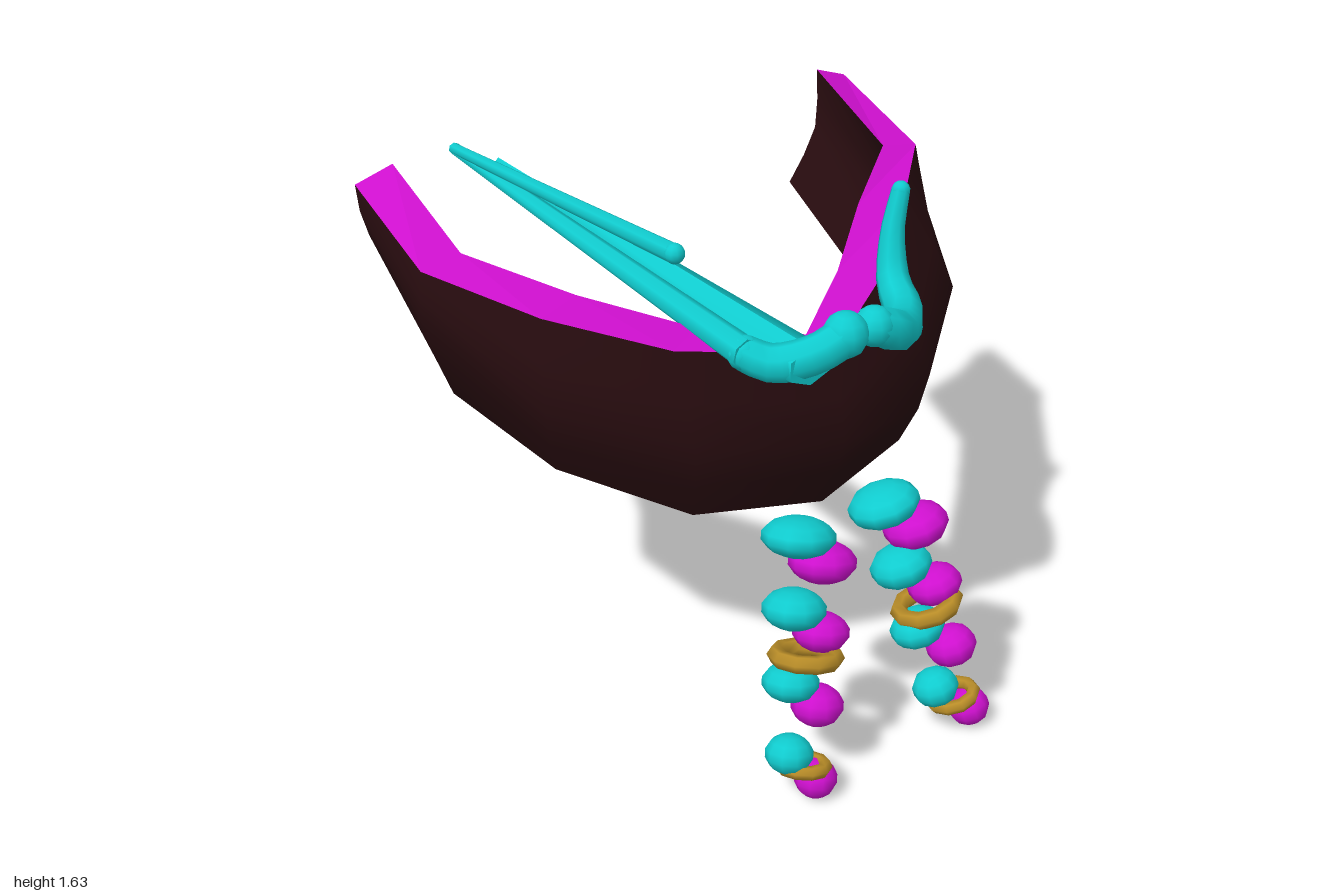
import * as THREE from 'three';

const V = (p) => new THREE.Vector3(...p);
const mat = (name, color, side = THREE.FrontSide) => {
  const m = new THREE.MeshStandardMaterial({ color, side });
  m.name = name;
  return m;
};

// Surface through rows of points; flat or smooth
function strip(rows, flat) {
  const n = rows[0].length, index = [];
  for (let s = 0; s < rows.length - 1; s++)
    for (let k = 0; k < n - 1; k++) {
      const a = s * n + k, b = a + 1, d = a + n, c = d + 1;
      index.push(a, b, c, a, c, d);
    }
  let g = new THREE.BufferGeometry().setFromPoints(rows.flat());
  g.setIndex(index);
  if (flat) g = g.toNonIndexed();
  g.computeVertexNormals();
  return g;
}

// Tube whose radius follows a list of values
function taperTube(points, radii, segments, sides) {
  const curve = new THREE.CatmullRomCurve3(points.map(V));
  const g = new THREE.TubeGeometry(curve, segments, 1, sides);
  const pos = g.attributes.position, v = new THREE.Vector3();
  for (let i = 0; i <= segments; i++) {
    const t = i / segments, c = curve.getPointAt(t);
    const f = t * (radii.length - 1), j = Math.min(Math.floor(f), radii.length - 2);
    const r = THREE.MathUtils.lerp(radii[j], radii[j + 1], f - j);
    for (let k = 0; k <= sides; k++) {
      const id = i * (sides + 1) + k;
      v.fromBufferAttribute(pos, id).sub(c).multiplyScalar(r).add(c);
      pos.setXYZ(id, v.x, v.y, v.z);
    }
  }
  return g;
}

export function createModel() {
  const group = new THREE.Group();
  const dark = mat('dark brown', 0x260b0e, THREE.DoubleSide);
  const magenta = mat('magenta', 0xcf10cf, THREE.DoubleSide);
  const teal = mat('teal', 0x10cccf);
  const gold = mat('gold', 0xb98d28);

  const add = (name, geometry, material, parent = group) => {
    const m = new THREE.Mesh(geometry, material);
    m.name = name;
    parent.add(m);
    return m;
  };
  const ball = (name, p, r, material, parent) => {
    const m = add(name, new THREE.SphereGeometry(r, 10, 7), material, parent);
    m.position.set(...p);
    return m;
  };

  // Curved band: half of the cross-sections, from the front centre to the end.
  // Each holds outer top, middle, bottom, then inner bottom, middle, top.
  const sections = [
    [[0, 1.25, 0.63], [0, 1.0, 0.7], [0, 0.76, 0.61], [0, 0.77, 0.49], [0, 1.0, 0.57], [0, 1.26, 0.51]],
    [[0.42, 1.31, 0.47], [0.42, 1.04, 0.575], [0.38, 0.79, 0.5], [0.3, 0.81, 0.39], [0.33, 1.04, 0.45], [0.3, 1.32, 0.4]],
    [[0.69, 1.385, 0.23], [0.735, 1.14, 0.31], [0.65, 0.885, 0.2], [0.53, 0.91, 0.13], [0.6, 1.13, 0.21], [0.55, 1.4, 0.18]],
    [[0.89, 1.46, -0.08], [0.907, 1.32, -0.07], [0.8, 1.035, -0.12], [0.66, 1.07, -0.09], [0.77, 1.28, -0.09], [0.76, 1.48, -0.09]],
    [[0.895, 1.59, -0.47], [0.87, 1.43, -0.46], [0.67, 1.25, -0.43], [0.6, 1.3, -0.37], [0.74, 1.45, -0.42], [0.775, 1.63, -0.465]],
  ];
  const outer = [], inner = [];
  for (let s = -4; s <= 4; s++) {
    const side = s < 0 ? -1 : 1;
    const p = sections[Math.abs(s)].map(([x, y, z], k) => {
      // The left rim is pinched inward
      const pinch = (k === 0 || k === 5) && (s === 1 || s === 2) ? 1 : 0;
      return new THREE.Vector3(side * (x - pinch * 0.04), y, z - pinch * 0.08);
    });
    outer.push(new THREE.CatmullRomCurve3(p.slice(0, 3)).getPoints(4));
    inner.push(new THREE.CatmullRomCurve3(p.slice(3)).getPoints(4));
  }
  const band = new THREE.Group();
  band.name = 'band';
  group.add(band);
  add('bandOuter', strip(outer), dark, band);
  add('bandInner', strip(inner), dark, band);
  add('bandUpperRim', strip(inner.map((r, i) => [r[4], outer[i][0]]), true), magenta, band);
  add('bandLowerRim', strip(outer.map((r, i) => [r[4], inner[i][0]]), true), magenta, band);
  const flip = (r) => [...r].reverse();
  add('bandLeftEnd', strip([outer[8], flip(inner[8])], true), magenta, band);
  add('bandRightEnd', strip([flip(inner[0]), outer[0]], true), magenta, band);

  // Hanging strands: [kind, strand x, sideways offset, y, z, radius, half height]
  const beads = [
    ['teal', 0.153, -0.047, 0.79, 0.76, 0.108, 0.058],
    ['magenta', 0.172, 0.052, 0.683, 0.77, 0.1, 0.062],
    ['teal', 0.195, -0.045, 0.585, 0.8, 0.094, 0.06],
    ['magenta', 0.213, 0.057, 0.485, 0.82, 0.084, 0.058],
    ['ring', 0.225, 0.005, 0.435, 0.835, 0.112],
    ['teal', 0.235, -0.045, 0.375, 0.845, 0.084, 0.056],
    ['magenta', 0.255, 0.055, 0.275, 0.87, 0.078, 0.062],
    ['teal', 0.275, -0.045, 0.172, 0.9, 0.071, 0.058],
    ['ring', 0.285, 0.005, 0.122, 0.915, 0.086],
    ['magenta', 0.295, 0.055, 0.064, 0.925, 0.064, 0.06],
  ];
  for (const side of [-1, 1]) {
    const strand = new THREE.Group();
    strand.name = side < 0 ? 'rightStrand' : 'leftStrand';
    group.add(strand);
    const axis = new THREE.Vector3(-side * 0.17, 0.73, -0.18).normalize();
    for (const [kind, c, d, y, z, r, h] of beads) {
      let m;
      if (kind === 'ring') {
        const g = new THREE.TorusGeometry(r * 0.76, r * 0.24, 6, 10).rotateX(Math.PI / 2);
        m = add('goldRing', g, gold, strand);
      } else {
        const g = new THREE.SphereGeometry(1, 10, 7).scale(r, h, r);
        m = add('bead', g, kind === 'teal' ? teal : magenta, strand);
      }
      m.position.set(side * c + d, y, z);
      m.quaternion.setFromUnitVectors(new THREE.Vector3(0, 1, 0), axis);
    }
  }

  // Left horn, curling up
  const horn = new THREE.Group();
  horn.name = 'leftHorn';
  group.add(horn);
  add('hornCurve', taperTube([[0.03, 1.38, 0.75], [0.08, 1.36, 0.76], [0.16, 1.315, 0.72], [0.27, 1.3, 0.61],
    [0.32, 1.34, 0.5], [0.36, 1.46, 0.44], [0.4, 1.575, 0.42]], [0.055, 0.06, 0.058, 0.056, 0.048, 0.036, 0.028], 14, 8), teal, horn);
  ball('hornTip', [0.4, 1.575, 0.42], 0.028, teal, horn);
  ball('hornRoot', [0.04, 1.375, 0.755], 0.058, teal, horn);
  ball('centreKnob', [-0.05, 1.37, 0.745], 0.066, teal);

  // Right horn: short base, long bar and two spikes meeting at the back
  const spikes = new THREE.Group();
  spikes.name = 'rightHorn';
  group.add(spikes);
  add('hornBase', taperTube([[-0.05, 1.37, 0.75], [-0.14, 1.33, 0.73], [-0.23, 1.3, 0.66], [-0.28, 1.32, 0.6]],
    [0.055, 0.055, 0.055, 0.05], 8, 8), teal, spikes);
  ball('hornElbow', [-0.28, 1.32, 0.6], 0.05, teal, spikes);
  const bar = new THREE.CylinderGeometry(0.03, 0.078, 1.73, 6).rotateX(-Math.PI / 2);
  const pos = bar.attributes.position;
  for (let i = 0; i < pos.count; i++) {
    const back = pos.getZ(i) < 0;
    pos.setY(i, pos.getY(i) * (back ? 1.75 : 0.72));
  }
  bar.computeVertexNormals();
  const barMesh = add('longBar', bar, teal, spikes);
  barMesh.position.set(-0.16, 1.303, -0.125);
  const spike = (name, from, to, r0, r1) => {
    const a = V(from), b = V(to), dir = b.clone().sub(a);
    const m = add(name, new THREE.CylinderGeometry(r1, r0, dir.length(), 7), teal, spikes);
    m.position.copy(a).add(b).multiplyScalar(0.5);
    m.quaternion.setFromUnitVectors(new THREE.Vector3(0, 1, 0), dir.normalize());
  };
  spike('upperSpike', [-0.388, 1.575, 0.43], [-0.345, 1.442, -0.94], 0.028, 0.018);
  spike('lowerSpike', [-0.285, 1.325, 0.62], [-0.34, 1.438, -0.95], 0.046, 0.02);
  ball('spikeTip', [-0.388, 1.575, 0.43], 0.029, teal, spikes);

  return group;
}
